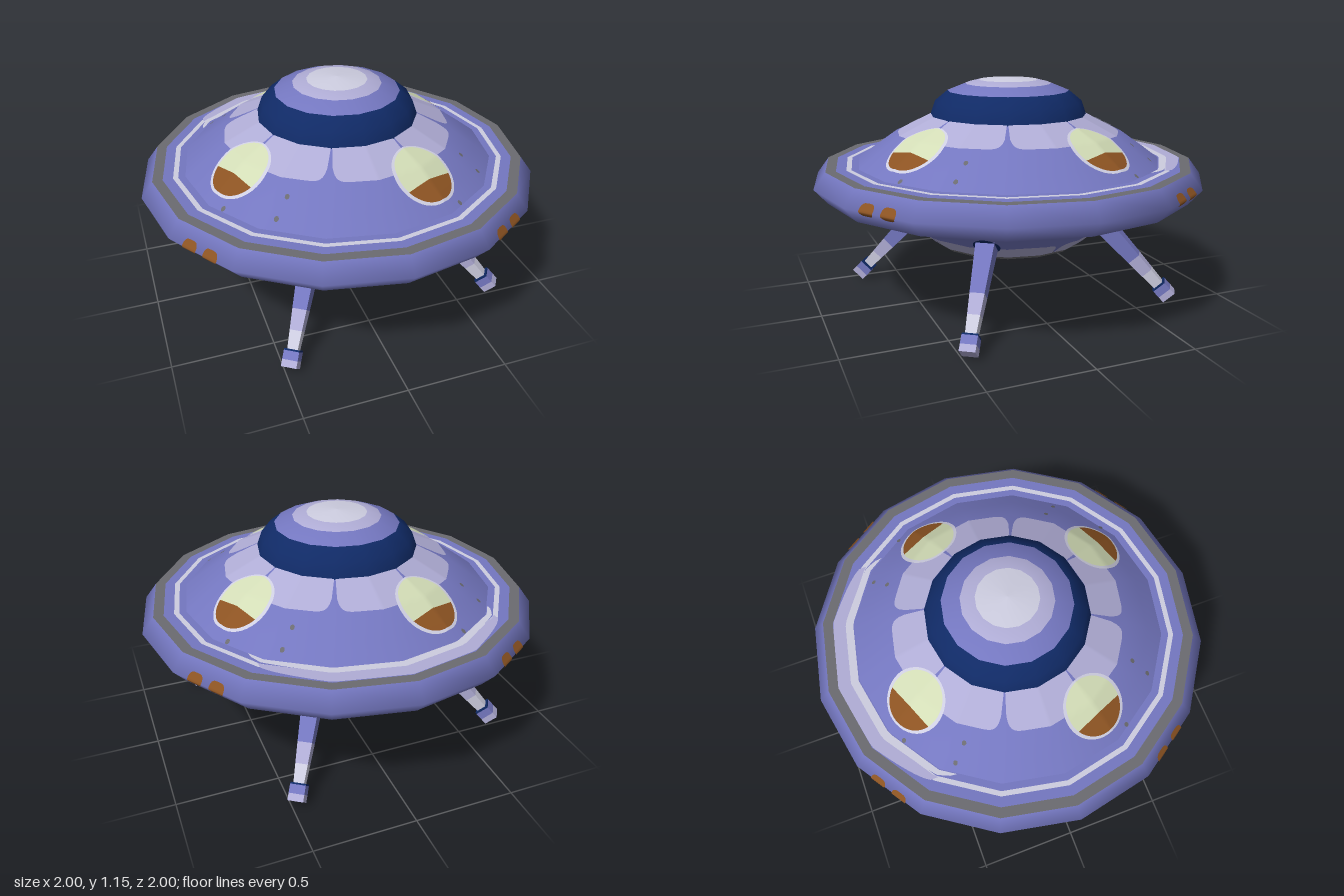
import * as THREE from 'three';

const SIDES = 16, STEP = Math.PI / 8;
const paint = (name, color) => {
  const m = new THREE.MeshStandardMaterial({ color });
  m.name = name;
  return m;
};

// Profiles as [radius, height], listed so that faces point outwards
const BELLY = [[0.385, 0.30], [0.405, 0.32], [0.47, 0.375], [0.57, 0.455], [0.69, 0.57]];
const RIM = [[0.935, 0.57], [1, 0.645], [0.94, 0.725]];
const SHELL = [[0.78, 0.725], [0.70, 0.785], [0.58, 0.87], [0.40, 0.955]];
const UNDER_RIM = [[0.69, 0.57], [0.935, 0.57]];
const RIM_TOP = [[0.94, 0.725], [0.89, 0.725], [0.84, 0.725], [0.815, 0.725], [0.78, 0.725]];

// Value on a piecewise linear profile: column k looked up, the other column returned
function lookup(profile, k, value) {
  const p = [...profile].sort((a, b) => a[k] - b[k]);
  let i = 0;
  while (i < p.length - 2 && value > p[i + 1][k]) i++;
  const t = (value - p[i][k]) / ((p[i + 1][k] - p[i][k]) || 1);
  return p[i][1 - k] + (p[i + 1][1 - k] - p[i][1 - k]) * t;
}

// Ratio of the sixteen-sided outline's radius to its corner radius at an angle
function facet(angle) {
  const a = ((angle % STEP) + STEP) % STEP - STEP / 2;
  return Math.cos(STEP / 2) / Math.cos(a);
}

// Grid whose vertices follow a rule fn(u, v) -> [x, y, z], with u and v in 0..1
function sheet(nu, nv, fn) {
  const g = new THREE.PlaneGeometry(1, 1, nu, nv);
  const p = g.attributes.position;
  for (let i = 0; i < p.count; i++) p.setXYZ(i, ...fn(p.getX(i) + 0.5, p.getY(i) + 0.5));
  g.computeVertexNormals();
  return g;
}

// Point laid on a profile's surface above or below (x, z)
function drape(profile, x, z, lift) {
  const r = Math.hypot(x, z) / facet(Math.atan2(x, z));
  return [x, lookup(profile, 0, r) + lift, z];
}

// Part of an ellipse between heights b0 and b1 (-1..1), laid on a profile
function oval(profile, angle, radius, halfW, halfR, lift, b0 = -1, b1 = 1, n = 20) {
  const s = Math.sin(angle), c = Math.cos(angle), dir = lift > 0 ? -1 : 1;
  return sheet(n, n, (u, v) => {
    const t = THREE.MathUtils.lerp(Math.asin(b0), Math.asin(b1), v);
    const a = dir * (2 * u - 1) * Math.cos(t) * halfW, r = radius + Math.sin(t) * halfR;
    return drape(profile, a * c + r * s, -a * s + r * c, lift);
  });
}

// Rounded panel between two angles, laid on a profile
function lobe(profile, a0, a1, inner, outer, lift, power) {
  return sheet(48, 10, (u, v) => {
    const w = 2 * u - 1, angle = a0 + (a1 - a0) * u;
    const top = inner + (outer - inner) * Math.sqrt(Math.max(0, 1 - Math.abs(w) ** power));
    const r = (lift > 0 ? top + (inner - top) * v : inner + (top - inner) * v) * facet(angle);
    return drape(profile, r * Math.sin(angle), r * Math.cos(angle), lift);
  });
}

export function createModel() {
  const blue = paint('periwinkle', 0x7477c0), navy = paint('navy', 0x102a66);
  const lavender = paint('lavender', 0xb0add6), pale = paint('pale lilac', 0xcdcde0);
  const cream = paint('cream green', 0xd2dcb6), brown = paint('brown', 0x8c5322);
  const gray = paint('gray', 0x6b6b70);
  const model = new THREE.Group();

  const add = (name, geometry, material, parent = model) => {
    const mesh = new THREE.Mesh(geometry, material);
    mesh.name = name;
    parent.add(mesh);
    return mesh;
  };

  // Turned part with one material for each band of its profile
  const turned = (name, profile, mats) => {
    const g = new THREE.LatheGeometry(profile.map(p => new THREE.Vector2(...p)), SIDES);
    const list = [...new Set(mats)], n = profile.length - 1;
    for (let i = 0; i < SIDES; i++) {
      for (let j = 0; j < n; j++) g.addGroup((i * n + j) * 6, 6, list.indexOf(mats[j]));
    }
    return add(name, g, list);
  };

  // Saucer body
  turned('bottomHatch', [[0, 0.30], [0.34, 0.30], [0.385, 0.30]], [brown, gray]);
  turned('belly', BELLY, [gray, blue, blue, blue]);
  turned('underRim', UNDER_RIM, [blue]);
  turned('rim', RIM, [blue, blue]);
  turned('rimTop', RIM_TOP, [gray, blue, pale, blue]);
  turned('upperShell', SHELL, [blue, blue, blue]);
  turned('dome', [[0.40, 0.955], [0.375, 1.025], [0.31, 1.078], [0.22, 1.114], [0.15, 1.132], [0, 1.145]],
    [navy, navy, blue, lavender, pale]);

  // Worn paint on the rear of the rim
  add('rearRimPaint', lobe(RIM_TOP, Math.PI - 0.8, Math.PI + 0.8, 0.82, 0.89, 0.003, 4), lavender);
  add('rearRimStripe', lobe(RIM_TOP, Math.PI - 0.9, Math.PI + 0.9, 0.785, 0.825, 0.005, 4), pale);

  // Details repeated on each quarter
  for (let q = 0; q < 4; q++) {
    const turn = q * Math.PI / 2;
    const win = turn + STEP, legAngle = turn + 2.5 * STEP;

    // Oval windows
    add('windowFrame', oval(SHELL, win, 0.595, 0.155, 0.138, 0.006), pale);
    add('windowUpper', oval(SHELL, win, 0.595, 0.138, 0.128, 0.009, -1, 0.3), cream);
    add('windowLower', oval(SHELL, win, 0.595, 0.138, 0.128, 0.009, 0.3, 1), brown);

    // Light panels around the dome and the hatch
    for (let k = 0; k < 2; k++) {
      const a = win + k * 2 * STEP, b = legAngle + k * 2 * STEP;
      add('shellPanel', lobe(SHELL, a + 0.008, a + 2 * STEP - 0.008, 0.40, 0.575, 0.004, 10), lavender);
      add('bellyPanel', lobe(BELLY, b + 0.01, b + 2 * STEP - 0.01, 0.405, 0.485, -0.004, 6), lavender);
      add('underRivet', oval(UNDER_RIM, a, 0.81, 0.02, 0.02, -0.004, -1, 1, 6), gray);
    }

    // Rivets on the shell
    for (const [offset, r] of [[0.5, 0.76], [0.89, 0.64], [0.87, 0.73]]) {
      add('shellRivet', oval(SHELL, turn + offset, r, 0.011, 0.011, 0.006, -1, 1, 6), gray);
    }

    // Paired lamps on the rim
    for (const side of [-1, 1]) {
      add('rimLamp', sheet(12, 12, (u, v) => {
        const t = (v - 0.5) * Math.PI;
        const y = 0.655 + 0.028 * Math.sin(t);
        const w = Math.sqrt(Math.max(0, Math.cos(t)));
        const angle = turn + 1.5 * STEP + side * 0.064 + (2 * u - 1) * w * 0.042;
        const r = lookup(RIM, 1, y) * facet(angle) + 0.007;
        return [r * Math.sin(angle), y, r * Math.cos(angle)];
      }), brown);
    }

    // Landing legs
    add('legSocket', oval(BELLY, legAngle, 0.50, 0.065, 0.06, -0.007), navy);
    const mount = new THREE.Group(), leg = new THREE.Group();
    mount.name = 'legMount';
    leg.name = 'landingLeg';
    mount.rotation.y = legAngle;
    leg.position.set(0, 0.433, 0.47);
    leg.rotation.x = -0.758;
    mount.add(leg);
    model.add(mount);
    const strut = (name, from, to, w0, w1, mat) => {
      const g = new THREE.CylinderGeometry(w0 / Math.SQRT2, w1 / Math.SQRT2, to - from, 4).toNonIndexed();
      g.rotateY(Math.PI / 4);
      g.computeVertexNormals();
      add(name, g, mat, leg).position.y = -(from + to) / 2;
    };
    strut('upperStrut', 0, 0.29, 0.095, 0.07, blue);
    strut('middleStrut', 0.29, 0.39, 0.07, 0.06, lavender);
    strut('lowerStrut', 0.39, 0.49, 0.06, 0.05, pale);
    add('footCap', new THREE.BoxGeometry(0.074, 0.008, 0.074), navy, leg).position.y = -0.482;
    add('foot', new THREE.BoxGeometry(0.075, 0.042, 0.075), blue, leg).position.y = -0.507;
    add('footPad', new THREE.BoxGeometry(0.075, 0.034, 0.075), lavender, leg).position.y = -0.545;
  }
  return model;
}
